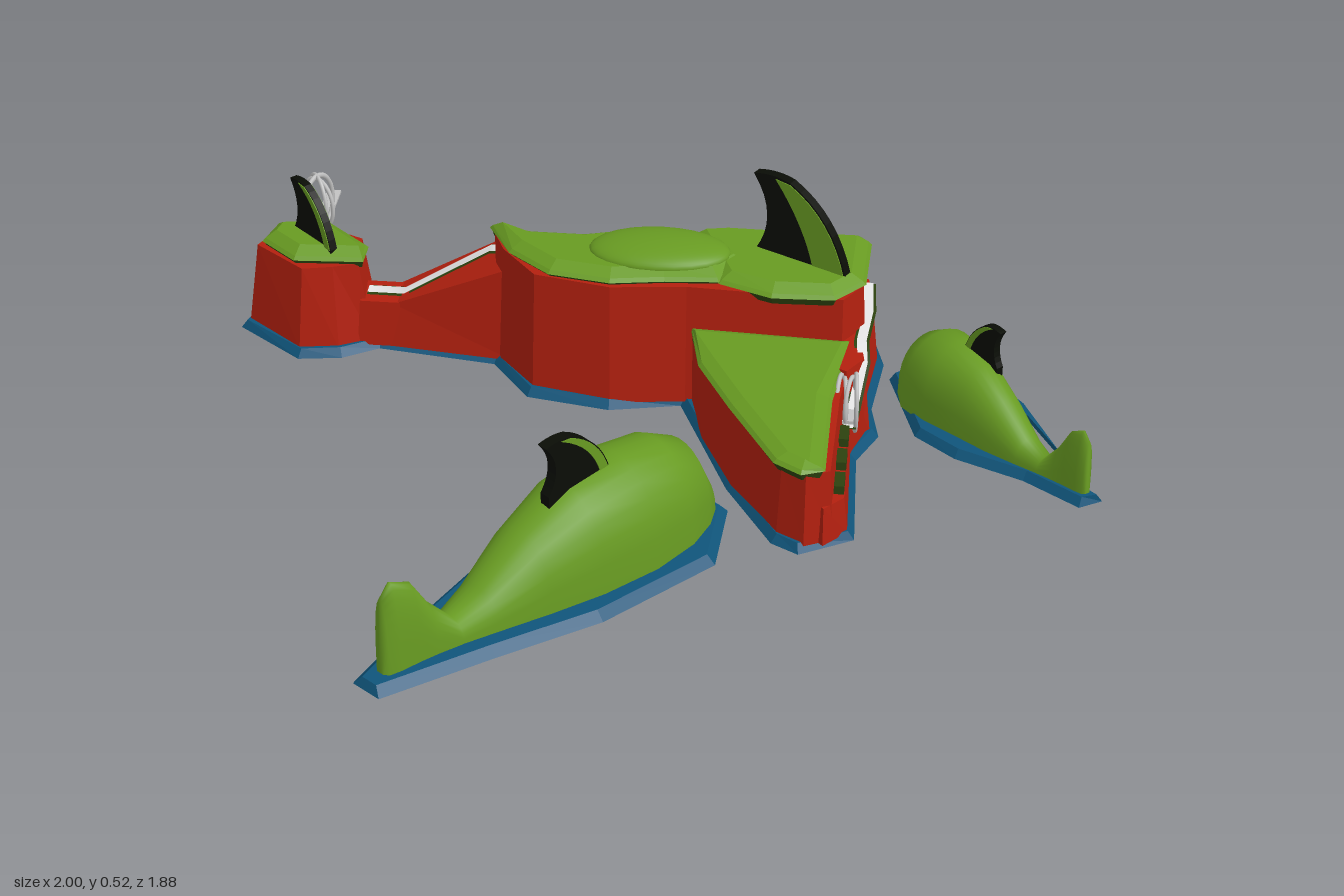
import * as THREE from 'three';

const mat = (name, color) => Object.assign(new THREE.MeshStandardMaterial({ color }), { name });

// Turn an outline of [x, z] points so that it always runs the same way round
const orient = (p) =>
  THREE.ShapeUtils.area(p.map(([x, z]) => new THREE.Vector2(x, z))) < 0 ? [...p].reverse() : p;

// Straight slope between two heights
const slope = (v, v0, v1, y0, y1) => y0 + THREE.MathUtils.clamp((v - v0) / (v1 - v0), 0, 1) * (y1 - y0);

// Move every corner of an outline inwards by d
function inset(p, d) {
  return p.map(([x, z], i) => {
    const a = p[(i + p.length - 1) % p.length], b = p[(i + 1) % p.length];
    const dx = b[0] - a[0], dz = b[1] - a[1], l = Math.hypot(dx, dz) || 1;
    return [x - (dz / l) * d, z + (dx / l) * d];
  });
}

// Stack of outlines: layers are [inset, height or height(x, z)]; group 1 is the underside
function stack(outline, layers) {
  const base = orient(outline), n = base.length, pos = [];
  const rings = layers.map(([d, y]) => inset(base, d).map(([x, z]) =>
    [x, typeof y === 'function' ? y(x, z) : y, z]));
  const tri = (a, b, c) => pos.push(...a, ...b, ...c);
  for (let r = 0; r + 1 < rings.length; r++) for (let i = 0; i < n; i++) {
    const j = (i + 1) % n, lo = rings[r], up = rings[r + 1];
    tri(lo[i], up[j], lo[j]);
    tri(lo[i], up[i], up[j]);
  }
  const faces = (ring) => THREE.ShapeUtils.triangulateShape(ring.map((v) => new THREE.Vector2(v[0], v[2])), []);
  const top = rings[rings.length - 1], bottom = rings[0];
  faces(top).forEach(([a, b, c]) => tri(top[a], top[c], top[b]));
  const split = pos.length / 3;
  faces(bottom).forEach(([a, b, c]) => tri(bottom[a], bottom[b], bottom[c]));
  const g = new THREE.BufferGeometry();
  g.setAttribute('position', new THREE.Float32BufferAttribute(pos, 3));
  g.addGroup(0, split, 0);
  g.addGroup(split, pos.length / 3 - split, 1);
  g.computeVertexNormals();
  return g;
}

function indexed(pos, idx) {
  const g = new THREE.BufferGeometry();
  g.setAttribute('position', new THREE.Float32BufferAttribute(pos, 3));
  g.setIndex(idx);
  g.computeVertexNormals();
  return g;
}

// Hump and raised tail: [distance along the axis, half width, height], all as fractions
const humpProfile = [[0, .25, .08], [.02, .5, .42], [.07, .72, .77], [.155, .92, .93], [.285, 1, 1], [.44, .9, .94],
  [.58, .7, .72], [.71, .48, .39], [.795, .34, .27], [.86, .26, .53], [.905, .22, .8], [.96, .19, .9],
  [.99, .15, .78], [1, .07, .08]];

// Smooth arched body from head to tail, optionally bent sideways and slimmed behind the hump
function archedBody([x0, z0], [x1, z1], width, height, bend, slim) {
  const K = 14, pos = [], idx = [], l = Math.hypot(x1 - x0, z1 - z0);
  const px = -(z1 - z0) / l, pz = (x1 - x0) / l;
  humpProfile.forEach(([t, w, h], s) => {
    const half = w * width * (1 - slim * THREE.MathUtils.smoothstep(t, .15, .42));
    for (let k = 0; k <= K; k++) {
      const a = (k / K) * Math.PI, c = Math.cos(a) * half + bend * Math.sin(Math.PI * t);
      pos.push(x0 + (x1 - x0) * t + px * c,
        .012 + (h * height - .012) * Math.pow(Math.max(0, Math.sin(a)), .7), z0 + (z1 - z0) * t + pz * c);
      if (s && k) {
        const i = s * (K + 1) + k, j = i - K - 1;
        idx.push(j - 1, i - 1, j, i - 1, i, j);
      }
    }
  });
  return indexed(pos, idx);
}

// Flat ribbon following [x, y, z] points
function ribbon(points, width) {
  const pos = [], idx = [];
  points.forEach((p, i) => {
    const a = points[Math.max(0, i - 1)], b = points[Math.min(points.length - 1, i + 1)];
    const dx = b[0] - a[0], dz = b[2] - a[2], l = Math.hypot(dx, dz), w = width / 2 / l;
    pos.push(p[0] - dz * w, p[1], p[2] + dx * w, p[0] + dz * w, p[1], p[2] - dx * w);
    if (i) idx.push(2 * i - 2, 2 * i, 2 * i - 1, 2 * i - 1, 2 * i, 2 * i + 1);
  });
  return indexed(pos, idx);
}

export function createModel() {
  const red = mat('red cliff', 0xb3200f), green = mat('green grass', 0x689b22);
  const blue = mat('blue shore', 0x10557b), black = mat('black rock', 0x0a0d06);
  const dark = mat('dark green edge', 0x2c420f), grey = mat('grey metal', 0xc2c2c2);
  const white = mat('white path', 0xffffff);
  white.side = dark.side = THREE.DoubleSide;

  const model = new THREE.Group();
  const add = (name, geo, m, parent = model) => {
    const mesh = new THREE.Mesh(geo, m);
    mesh.name = name;
    parent.add(mesh);
    return mesh;
  };

  // Shore and underside of the main island
  const coast = [[-1, -.41], [-.9, -.73], [-.85, -.72], [-.82, -.57], [-.69, -.52], [-.66, -.45], [-.32, -.47],
    [-.29, -.44], [.03, -.43], [.06, -.49], [.29, -.515], [.49, -.48], [.51, -.4], [.49, -.21], [.51, -.1],
    [.465, 0], [.475, .3], [.36, .365], [.3, .33], [.19, .14], [.06, -.18], [-.1, -.145],
    [-.29, -.18], [-.385, -.31], [-.66, -.35], [-.74, -.3], [-.84, -.285]];
  add('mainShore', stack(coast, [[0, 0], [.015, .02]]), [blue, red]);

  // Red cliffs with leaning walls
  const cliff = (name, y, lean, ...outline) => add(name, stack(outline, [[0, .012], [lean, y]]), [red, red]);
  cliff('knobCliff', .215, .03, [-.98, -.42], [-.93, -.55], [-.8, -.555], [-.69, -.5], [-.675, -.36],
    [-.75, -.32], [-.84, -.305]);
  cliff('spurRamp', (x, z) => slope(z, -.605, -.53, .077, .14), .008,
    [-.94, -.51], [-.918, -.605], [-.842, -.605], [-.83, -.51]);
  cliff('spurFlat', .077, .008, [-.92, -.58], [-.9, -.722], [-.853, -.718], [-.84, -.58]);
  cliff('rampFoot', .125, .012, [-.71, -.455], [-.6, -.455], [-.6, -.345], [-.71, -.345]);
  cliff('rampCliff', (x) => slope(x, -.6, -.4, .12, .25), .012,
    [-.63, -.46], [-.38, -.465], [-.34, -.31], [-.63, -.345]);
  cliff('backLedgeLow', (x) => slope(x, -.3, -.06, .15, .115), .01,
    [-.4, -.45], [-.33, -.458], [-.29, -.425], [-.04, -.42], [-.04, -.3], [-.36, -.32]);
  cliff('backLedgeRise', (x) => slope(x, -.05, .07, .115, .2), .006,
    [-.055, -.422], [.04, -.418], [.09, -.475], [.09, -.3], [-.055, -.3]);
  cliff('backLedgeHigh', .2, .02, [.06, -.478], [.29, -.5], [.475, -.465], [.495, -.4], [.475, -.21],
    [.49, -.1], [.43, -.03], [.1, -.2]);
  cliff('plateauCliff', .305, .015, [-.39, -.4], [-.05, -.395], [.09, -.43], [.46, -.435], [.475, -.24],
    [.42, -.16], [.07, -.18], [-.1, -.16], [-.28, -.2], [-.37, -.31]);
  cliff('armCliff', .185, .01, [.08, -.2], [.12, -.04], [.2, .14], [.31, .315], [.37, .35], [.43, .32],
    [.435, .04], [.46, -.2]);
  cliff('armLedge', .1, .01, [.38, -.15], [.485, -.1], [.452, 0], [.46, .29], [.41, .345], [.37, .3]);

  // Grass caps with a dark lip beneath
  function cap(name, y, crown, ...outline) {
    add(name, stack(outline, [[0, y], [.008, y + .008], [.035, crown]]), [green, dark]);
    add(name + 'Lip', stack(outline, [[.012, y - .02], [.004, y]]), [dark, dark]);
  }
  cap('knobGrass', .225, .25, [-.92, -.51], [-.8, -.53], [-.69, -.43], [-.69, -.36], [-.85, -.35], [-.94, -.43]);
  cap('westGrass', .312, .335, [-.4, -.4], [-.3, -.385], [-.18, -.385], [-.05, -.425], [.03, -.4], [.14, -.4],
    [.2, -.3], [.14, -.21], [.02, -.2], [-.1, -.18], [-.24, -.205], [-.34, -.29]);
  cap('peakGrass', .308, .332, [.06, -.41], [.14, -.455], [.44, -.45], [.47, -.42], [.465, -.24], [.4, -.165],
    [.26, -.16], [.14, -.21]);
  cap('armGrass', .192, .21, [.08, -.2], [.11, -.05], [.19, .11], [.3, .31], [.36, .35], [.41, .33],
    [.41, .06], [.44, -.18]);
  const knoll = add('westKnoll', new THREE.SphereGeometry(1, 24, 12, 0, Math.PI * 2, 0, Math.PI / 2), green);
  knoll.scale.set(.16, .034, .09);
  knoll.position.set(0, .333, -.3);

  // White paths with dark borders
  function path(name, width, ...points) {
    add(name, ribbon(points, width), white);
    add(name + 'Border', ribbon(points.map(([x, y, z]) => [x, y - .003, z]), width + .012), dark);
  }
  path('spurPath', .034, [-.877, .147, -.52], [-.877, .147, -.535], [-.877, .084, -.605], [-.877, .083, -.712]);
  path('rampPath', .03, [-.69, .13, -.402], [-.605, .13, -.402], [-.4, .257, -.402], [-.375, .257, -.402]);
  path('backPath', .022, [-.29, .156, -.408], [-.06, .124, -.407], [.05, .196, -.425], [.09, .207, -.445],
    [.15, .207, -.455]);
  path('eastPath', .022, [.466, .207, -.42], [.472, .207, -.3], [.462, .207, -.17], [.468, .195, -.1],
    [.45, .108, -.02], [.445, .106, .03]);

  // Small dark ledges on the east wall
  for (const z of [.07, .16, .25])
    add('eastScrub', new THREE.BoxGeometry(.022, .02, .055).translate(.438, .11, z), dark);

  // Bundles of metal rings: each ring is [sideways offset, yaw, size]
  function gate(name, x, y, z, ...rings) {
    const g = new THREE.Group();
    g.name = name;
    g.position.set(x, y, z);
    for (const [dx, yaw, size] of rings) {
      const ring = add('ring', new THREE.TorusGeometry(.05, .005, 8, 32), grey, g);
      ring.scale.set(size, 1.4 * size, 1);
      ring.rotation.y = yaw;
      ring.position.x = dx;
    }
    model.add(g);
  }
  gate('northGate', -.877, .148, -.757, [0, 1.05, 1.05], [0, 2.15, 1.05], [0, 2.6, .95]);
  gate('eastGate', .44, .14, -.02, [-.018, 1.45, .9], [-.006, 1.7, .8], [.006, 1.35, .85], [.018, 1.65, .95]);
  add('bridge', new THREE.BoxGeometry(.034, .006, .24).translate(-.877, .08, -.82), grey);
  add('bridgeLanding', new THREE.BoxGeometry(.07, .006, .06).translate(-.877, .079, -.735), grey);
  add('eastDeck', new THREE.BoxGeometry(.045, .008, .09).translate(.44, .112, -.025), grey);

  // Front islet
  add('frontIsletShore', stack([[.075, .12], [.2, .22], [.19, .42], [-.02, .64], [-.22, .78], [-.43, .935],
    [-.49, .89], [-.4, .67], [-.26, .38], [-.11, .21]], [[0, 0], [.02, .02]]), [blue, green]);
  add('frontIsletBody', archedBody([.135, .19], [-.437, .877], .136, .25, 0, 0), green);

  // East islet, with a thin curved sliver of shore
  add('eastIsletShore', stack([[.525, -.34], [.6, -.4], [.74, -.37], [.79, -.27], [.75, -.21], [.76, -.15],
    [.83, -.08], [.91, .01], [1, .1], [.95, .13], [.83, .04], [.68, -.03], [.59, -.11]],
    [[0, 0], [.014, .02]]), [blue, green]);
  add('shoreSliver', stack([[.74, -.37], [.83, -.25], [.91, -.06], [.84, -.2], [.78, -.26]],
    [[0, .002], [0, .014]]), [blue, blue]);
  add('eastIsletBody', archedBody([.588, -.358], [.967, .102], .115, .19, .028, .3), green);

  // Curved black fin from its rear foot to its front foot, with a green leading strip from p outwards
  function fin(name, [x0, z0], [x1, z1], y, H, thick, p) {
    const L = Math.hypot(x1 - x0, z1 - z0), g = new THREE.Group();
    g.name = name;
    g.position.set(x0, y, z0);
    g.rotation.y = Math.atan2(z0 - z1, x1 - x0);
    const plate = (sh, t) =>
      new THREE.ExtrudeGeometry(sh, { depth: t, bevelEnabled: false, curveSegments: 8 }).translate(0, 0, -t / 2);
    const blade = new THREE.Shape().moveTo(.05 * L, -.03).lineTo(L, -.03).lineTo(L, 0)
      .quadraticCurveTo(.85 * L, .7 * H, .4 * L, .97 * H)
      .quadraticCurveTo(.22 * L, 1.03 * H, .02 * L, .96 * H)
      .quadraticCurveTo(.3 * L, .5 * H, .05 * L, 0);
    add('finBlade', plate(blade, thick), black, g);
    const strip = new THREE.Shape().moveTo(.98 * L, 0)
      .quadraticCurveTo(.84 * L, .68 * H, .4 * L, .95 * H).lineTo(.25 * L, .97 * H)
      .quadraticCurveTo(.85 * L * p, .75 * H * p, L * p, 0);
    add('finGrassStrip', plate(strip, thick + .004), green, g);
    model.add(g);
  }
  fin('peakFin', [.205, -.36], [.425, -.24], .325, .2, .022, .66);
  fin('knobFin', [-.87, -.48], [-.76, -.375], .245, .135, .018, .85);
  fin('frontIsletFin', [-.155, .545], [-.04, .415], .235, .125, .026, .85);
  fin('eastIsletFin', [.772, -.135], [.695, -.215], .175, .095, .018, .85);
  return model;
}
